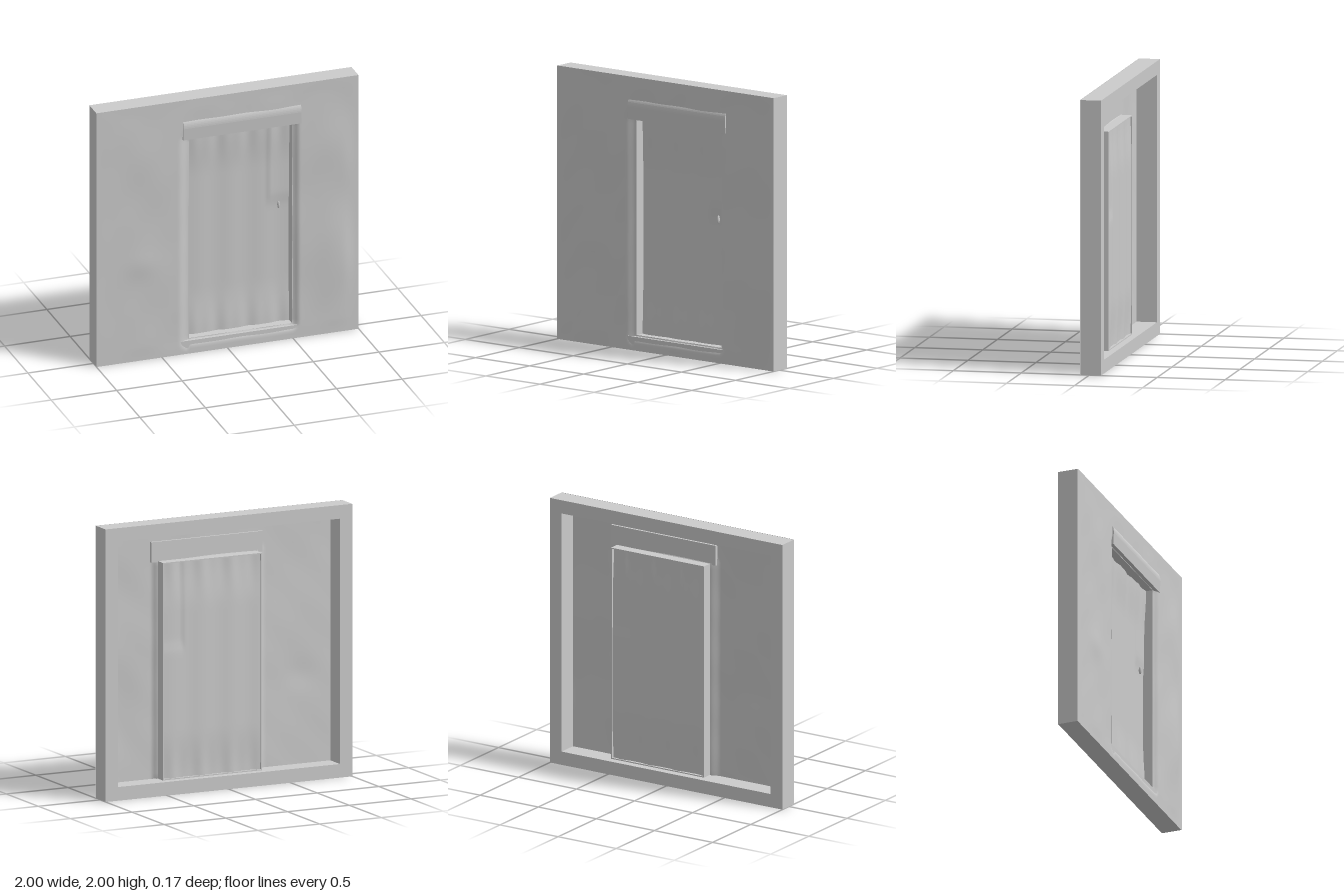
import * as THREE from 'three';

const material = new THREE.MeshStandardMaterial({ color: 0xcccccc, side: THREE.DoubleSide });
const DOOR = { l: -0.285, r: 0.5, b: 0.11, t: 1.69 };

const range = (a, b, n) => Array.from({ length: n + 1 }, (_, i) => a + (b - a) * i / n);
const smooth = (a, b, v) => THREE.MathUtils.smoothstep(v, a, b);
const bump = (x, y, cx, cy, rx, ry) => Math.exp(-(((x - cx) / rx) ** 2) - ((y - cy) / ry) ** 2);

function add(group, name, geometry) {
  const mesh = new THREE.Mesh(geometry, material);
  mesh.name = name;
  group.add(mesh);
  return mesh;
}

// Relief sheet over a grid of x and y lines; cells for which skip() is true stay open
function sheet(xs, ys, height, skip = () => false) {
  const positions = [], index = [], w = xs.length;
  for (const y of ys) for (const x of xs) positions.push(x, y, height(x, y));
  for (let j = 0; j < ys.length - 1; j++) {
    for (let i = 0; i < w - 1; i++) {
      if (skip((xs[i] + xs[i + 1]) / 2, (ys[j] + ys[j + 1]) / 2)) continue;
      const a = j * w + i;
      index.push(a, a + 1, a + w + 1, a, a + w + 1, a + w);
    }
  }
  const geometry = new THREE.BufferGeometry();
  geometry.setAttribute('position', new THREE.Float32BufferAttribute(positions, 3));
  geometry.setIndex(index);
  geometry.computeVertexNormals();
  return geometry;
}

// Rectangular ring between two outlines, extruded from z0 to z1
function ring(outer, inner, z0, z1) {
  const corners = ({ l, r, b, t }) => [[l, b], [r, b], [r, t], [l, t]].map(p => new THREE.Vector2(...p));
  const shape = new THREE.Shape(corners(outer));
  shape.holes.push(new THREE.Path(corners(inner).reverse()));
  const geometry = new THREE.ExtrudeGeometry(shape, { depth: z1 - z0, bevelEnabled: false });
  geometry.translate(0, 0, z0);
  return geometry;
}

// Uneven plaster: gentle waves, a few swellings, and a rounded dip toward the doorway
function wallHeight(x, y) {
  const dx = Math.max(DOOR.l - x, x - DOOR.r, 0);
  const dy = Math.max(DOOR.b - y, y - DOOR.t, 0);
  const nearDoor = 1 - smooth(0, x < DOOR.l ? 0.09 : 0.05, Math.hypot(dx, dy));
  const edge = smooth(0, 0.12, Math.min(1 - Math.abs(x), y, 2 - y));
  const waves = 0.002 * Math.sin(7 * x + 3 * y) * Math.sin(5 * y - 2 * x)
    + 0.001 * Math.sin(17 * x - 4 * y) * Math.sin(13 * y);
  const swell = 0.016 * bump(x, y, 0.84, 0.6, 0.16, 0.35) + 0.009 * bump(x, y, 0.8, 1.45, 0.18, 0.25)
    + 0.006 * bump(x, y, -0.65, 0.75, 0.12, 0.1) + 0.005 * bump(x, y, -0.6, 1.6, 0.2, 0.3);
  return 0.067 + edge * (waves + swell) - 0.027 * nearDoor;
}

// Worn boards: shallow vertical ribs, stronger folds at both ends, a raised strip beside the handle
function doorHeight(x, y) {
  const ends = 1 - smooth(0, 0.35, y - DOOR.b) * smooth(0, 0.35, DOOR.t - y);
  const ribs = (0.002 + 0.003 * ends) * Math.sin(26 * x) + 0.002 * ends * Math.sin(53 * x + 1);
  const strip = 0.008 * smooth(0.33, 0.35, x) * smooth(1.03, 1.12, y);
  return -0.032 + ribs + strip + 0.012 * ends;
}

export function createModel() {
  const model = new THREE.Group();
  model.name = 'wallWithDoor';

  // Solid border, open at the back
  add(model, 'borderFrame', ring(
    { l: -1, r: 1, b: 0, t: 2 }, { l: -0.9, r: 0.9, b: 0.1, t: 1.9 }, -0.087, 0.063));

  // Plaster front with the doorway cut out
  const xs = [...range(-1, -0.4, 24), ...range(-0.4, DOOR.l, 8).slice(1),
    ...range(DOOR.l, DOOR.r, 24).slice(1), ...range(DOOR.r, 0.58, 6).slice(1), ...range(0.58, 1, 18).slice(1)];
  const ys = [...range(0, DOOR.b, 6), ...range(DOOR.b, DOOR.t, 50).slice(1), ...range(DOOR.t, 2, 16).slice(1)];
  const inDoor = (x, y) => x > DOOR.l && x < DOOR.r && y > DOOR.b && y < DOOR.t;
  add(model, 'plasterWall', sheet(xs, ys, wallHeight, inDoor));

  // Doorway lining, reaching back to the recessed door
  const e = 0.008;
  add(model, 'doorwayLining', ring(
    { l: DOOR.l - e, r: DOOR.r + e, b: DOOR.b - e, t: DOOR.t + e }, DOOR, -0.036, 0.041));

  // Recessed door leaf
  add(model, 'door', sheet(range(DOOR.l, DOOR.r, 48), range(DOOR.b, DOOR.t, 40), doorHeight));

  // Small pull handle
  const handle = add(model, 'handle', new THREE.SphereGeometry(1, 12, 8));
  handle.scale.set(0.009, 0.03, 0.012);
  handle.position.set(0.42, 1.03, -0.022);

  // Lintel with a softly rounded upper edge
  const profile = new THREE.Shape();
  profile.moveTo(0.045, 1.69);
  profile.lineTo(0.074, 1.69);
  profile.lineTo(0.079, 1.78);
  profile.quadraticCurveTo(0.079, 1.82, 0.062, 1.84);
  profile.lineTo(0.045, 1.84);
  const lintel = add(model, 'lintel', new THREE.ExtrudeGeometry(profile, { depth: 0.9, bevelEnabled: false, curveSegments: 6 }));
  lintel.rotation.y = -Math.PI / 2;
  lintel.position.x = 0.56;
  // Profile x maps to z, extrusion runs toward -x
  return model;
}
